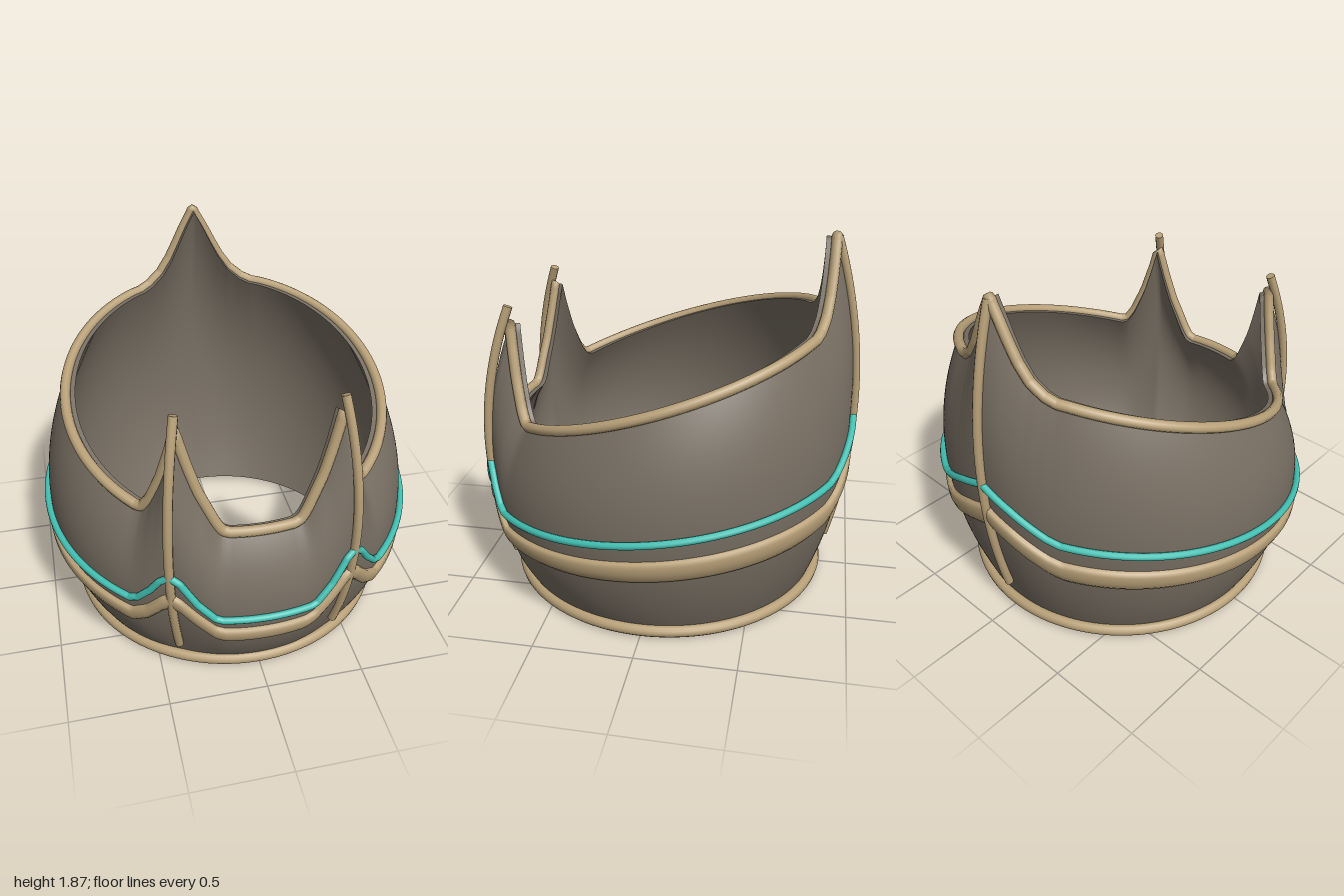
import * as THREE from 'three';

const COLUMNS = 360;
const WALL = 0.05;

// Heights around the piece: key points by angle from the front (degrees),
// with a straight slope along z between the front and back groups.
function heightProfile(front, back, radius) {
  const zAt = (deg) => radius * Math.cos(THREE.MathUtils.degToRad(deg));
  const [a0, y0] = front[front.length - 1];
  const [a1, y1] = back[0];
  const along = (keys, a) => {
    let k = 1;
    while (k < keys.length - 1 && keys[k][0] < a) k++;
    const [p, q] = [keys[k - 1], keys[k]];
    return THREE.MathUtils.mapLinear(a, p[0], q[0], p[1], q[1]);
  };
  return (deg) => {
    const a = deg > 180 ? 360 - deg : deg;
    if (a <= a0) return along(front, a);
    if (a >= a1) return along(back, a);
    return THREE.MathUtils.mapLinear(zAt(a), zAt(a0), zAt(a1), y0, y1);
  };
}

// Upper edge with two front points and a tall back point
const topHeight = heightProfile(
  [[0, 0.89], [11, 0.89], [13.5, 0.905], [15.5, 0.95], [21.4, 1.13], [24.5, 1.26], [28, 1.43],
    [30, 1.32], [33.3, 1.17], [37.5, 1.03], [40.5, 0.97], [43, 0.964]],
  [[153, 1.406], [157, 1.412], [161, 1.435], [166, 1.49], [170, 1.57], [173, 1.65], [176.5, 1.75], [180, 1.84]],
  0.83
);
const cordHeight = heightProfile(
  [[0, 0.465], [13, 0.465], [15, 0.475], [20, 0.56], [25, 0.68], [28, 0.71], [31, 0.67], [34, 0.6], [38, 0.53], [41, 0.508]],
  [[154, 0.718], [158, 0.74], [170, 0.84], [180, 0.91]],
  0.98
);
const beltHeight = heightProfile(
  [[0, 0.34], [12, 0.34], [15, 0.355], [20, 0.43], [25, 0.51], [28, 0.535], [31, 0.51], [36, 0.425], [41, 0.375]],
  [[154, 0.53], [158, 0.55], [170, 0.64], [180, 0.7]],
  0.96
);

// Barrel radius at a fraction of the local height
const bulge = (t) => 0.958 - (t < 0.54 ? 0.56 : 0.64) * (t - 0.54) ** 2;

function polar(deg, r, y) {
  const a = THREE.MathUtils.degToRad(deg);
  return new THREE.Vector3(r * Math.sin(a), y, r * Math.cos(a));
}

// Sweeps a section of [radius, y] points around the vertical axis
function loftAround(section) {
  const positions = [];
  const indices = [];
  let rows = 0;
  for (let i = 0; i < COLUMNS; i++) {
    const deg = (i * 360) / COLUMNS;
    const points = section(deg);
    rows = points.length;
    for (const [r, y] of points) positions.push(...polar(deg, r, y).toArray());
  }
  for (let i = 0; i < COLUMNS; i++) {
    const n = (i + 1) % COLUMNS;
    for (let j = 0; j < rows - 1; j++) {
      const a = i * rows + j;
      const b = n * rows + j;
      indices.push(a, b, a + 1, b, b + 1, a + 1);
    }
  }
  const geometry = new THREE.BufferGeometry();
  geometry.setAttribute('position', new THREE.Float32BufferAttribute(positions, 3));
  geometry.setIndex(indices);
  geometry.computeVertexNormals();
  return geometry;
}

// Round cord following a height profile all the way round
function cordAround(point, radius) {
  const points = [];
  for (let i = 0; i < COLUMNS; i++) points.push(point((i * 360) / COLUMNS));
  return new THREE.TubeGeometry(new THREE.CatmullRomCurve3(points, true), 720, radius, 10, true);
}

export function createModel() {
  const group = new THREE.Group();
  const material = (name, color, side = THREE.FrontSide) => {
    const m = new THREE.MeshStandardMaterial({ color, side });
    m.name = name;
    return m;
  };
  const plate = material('dark bronze', 0x786f63, THREE.DoubleSide);
  const trim = material('tan trim', 0xb8a078);
  const teal = material('teal', 0x42bfb2);

  const add = (name, geometry, mat, parent = group) => {
    const mesh = new THREE.Mesh(geometry, mat);
    mesh.name = name;
    parent.add(mesh);
    return mesh;
  };

  // Shell walls, closed at the upper lip and foot
  const shell = new THREE.Group();
  shell.name = 'shell';
  group.add(shell);
  const ROWS = 28;
  const wall = (inset, deg) => {
    const top = topHeight(deg);
    return Array.from({ length: ROWS + 1 }, (_, j) => {
      const t = j / ROWS;
      return [bulge(t) - inset, 0.02 + t * (top - 0.02)];
    });
  };
  add('outerWall', loftAround((deg) => wall(0, deg)), plate, shell);
  add('innerWall', loftAround((deg) => wall(WALL, deg).reverse()), plate, shell);
  add('upperLip', loftAround((deg) => [[bulge(1), topHeight(deg)], [bulge(1) - WALL, topHeight(deg)]]), plate, shell);
  add('footLip', loftAround(() => [[bulge(0) - WALL, 0.02], [bulge(0), 0.02]]), plate, shell);

  // Rolled edges at the top and bottom
  add('upperRim', cordAround((deg) => polar(deg, 0.823, topHeight(deg)), 0.027), trim);
  const base = add('baseRing', new THREE.TorusGeometry(0.82, 0.03, 12, 120), trim);
  base.rotation.x = Math.PI / 2;
  base.position.y = 0.03;

  // Raised belt, rounded across its width
  const beltSection = [[-1, -0.015], [-0.95, 0.006], [-0.6, 0.02], [0, 0.029], [0.6, 0.027], [0.93, 0.018], [1, -0.015]];
  add('belt', loftAround((deg) => {
    const half = 0.061 - 0.009 * Math.cos(THREE.MathUtils.degToRad(deg));
    return beltSection.map(([v, out]) => {
      const y = beltHeight(deg) + v * half;
      return [bulge(y / topHeight(deg)) + out, y];
    });
  }), trim);

  // Teal cord above the belt
  add('cord', cordAround((deg) => {
    const y = cordHeight(deg);
    return polar(deg, bulge(y / topHeight(deg)) + 0.014, y);
  }, 0.018), teal);

  // Upright ribs running up to the three points
  const addRib = (name, deg, bottom, top, fullHeight) => {
    const points = [];
    for (let k = 0; k <= 16; k++) {
      const y = THREE.MathUtils.lerp(bottom, top, k / 16);
      points.push(polar(deg, bulge(y / fullHeight) + 0.012, y));
    }
    const curve = new THREE.CatmullRomCurve3(points);
    const rib = new THREE.Group();
    rib.name = name;
    group.add(rib);
    add('ribBar', new THREE.TubeGeometry(curve, 48, 0.023, 10), trim, rib);
    // Flat end caps
    for (const end of [0, 1]) {
      const cap = add('ribEnd', new THREE.CircleGeometry(0.023, 10), trim, rib);
      const direction = curve.getTangent(end).multiplyScalar(end ? 1 : -1);
      cap.position.copy(curve.getPoint(end));
      cap.quaternion.setFromUnitVectors(new THREE.Vector3(0, 0, 1), direction);
    }
  };
  addRib('leftFrontRib', 28, 0.16, 1.52, 1.5);
  addRib('rightFrontRib', -28, 0.16, 1.52, 1.5);
  addRib('backRib', 180, 0.19, 1.84, 1.83);

  return group;
}
